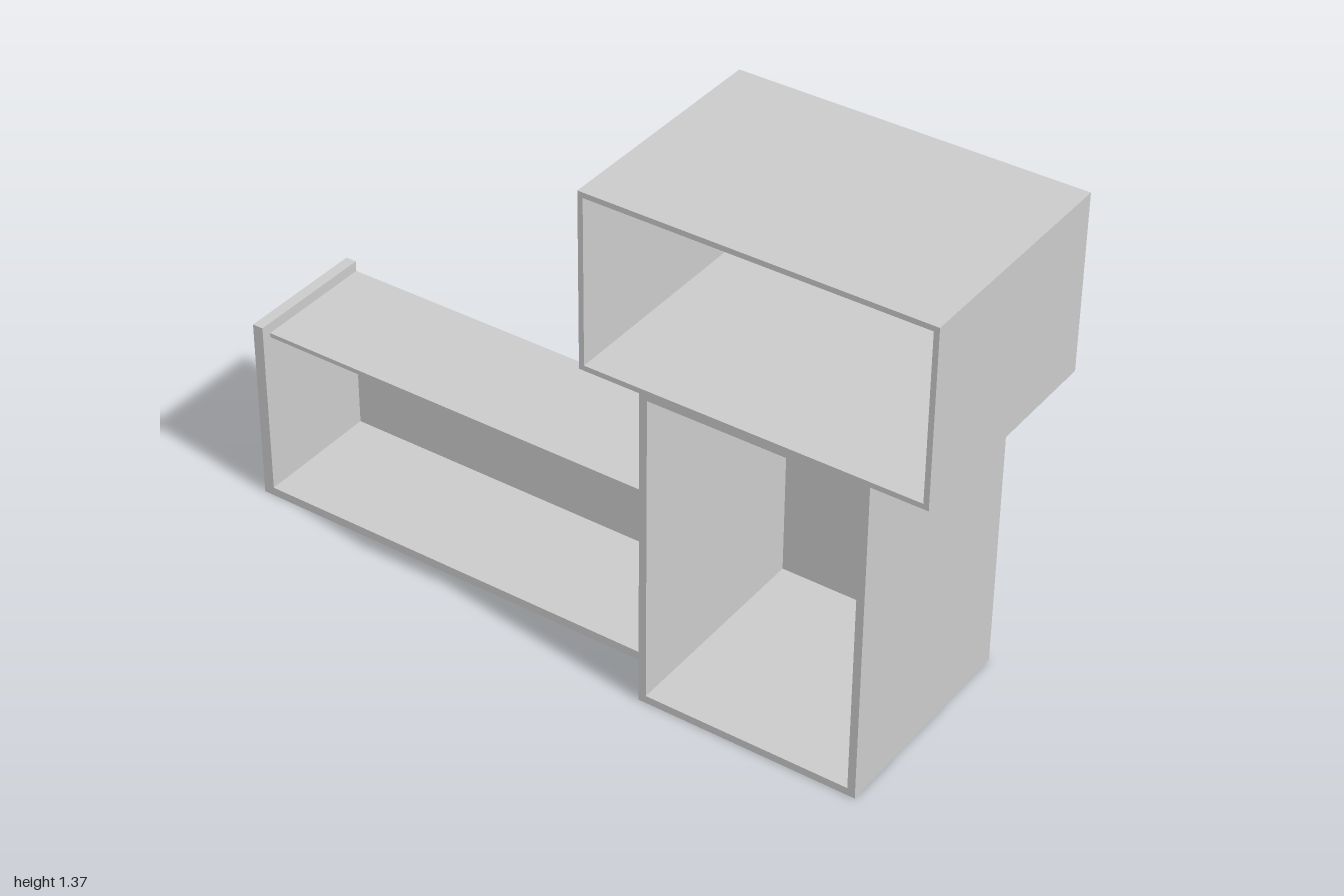
import * as THREE from 'three';

const material = new THREE.MeshStandardMaterial({ color: 0xcccccc });

// Box given by its limits on each axis
function board(name, [x0, x1], [y0, y1], [z0, z1]) {
  const mesh = new THREE.Mesh(new THREE.BoxGeometry(x1 - x0, y1 - y0, z1 - z0), material);
  mesh.position.set((x0 + x1) / 2, (y0 + y1) / 2, (z0 + z1) / 2);
  mesh.name = name;
  return mesh;
}

// Cabinet open at the front: four walls between full-height sides, and a back
function openCabinet(name, [x0, x1], [y0, y1], [z0, z1], wall, back) {
  const group = new THREE.Group();
  group.name = name;
  const inner = [x0 + wall, x1 - wall];
  group.add(
    board('rightSide', [x0, x0 + wall], [y0, y1], [z0, z1]),
    board('leftSide', [x1 - wall, x1], [y0, y1], [z0, z1]),
    board('bottom', inner, [y0, y0 + wall], [z0, z1]),
    board('top', inner, [y1 - wall, y1], [z0, z1]),
    board('back', inner, [y0 + wall, y1 - wall], [z0, z0 + back])
  );
  return group;
}

// Low bench unit: sides stand above a thin top that stops short of the front
function lowUnit() {
  const group = new THREE.Group();
  group.name = 'lowUnit';
  const z = [-0.185, 0.182];
  const inner = [-0.97, 0.198];
  group.add(
    board('rightSide', [-1, -0.97], [0, 0.515], z),
    board('leftSide', [0.198, 0.227], [0, 0.515], z),
    board('bottom', inner, [0, 0.024], z),
    board('top', inner, [0.474, 0.486], [-0.185, 0.155]),
    board('back', inner, [0.024, 0.474], [-0.182, -0.17])
  );
  return group;
}

export function createModel() {
  const model = new THREE.Group();
  model.name = 'cabinetSet';
  model.add(
    lowUnit(),
    openCabinet('tallCabinet', [0.245, 0.847], [0, 0.897], [-0.302, 0.302], 0.021, 0.014),
    openCabinet('upperCabinet', [0.09, 1], [0.9, 1.37], [-0.315, 0.315], 0.014, 0.055)
  );
  return model;
}
